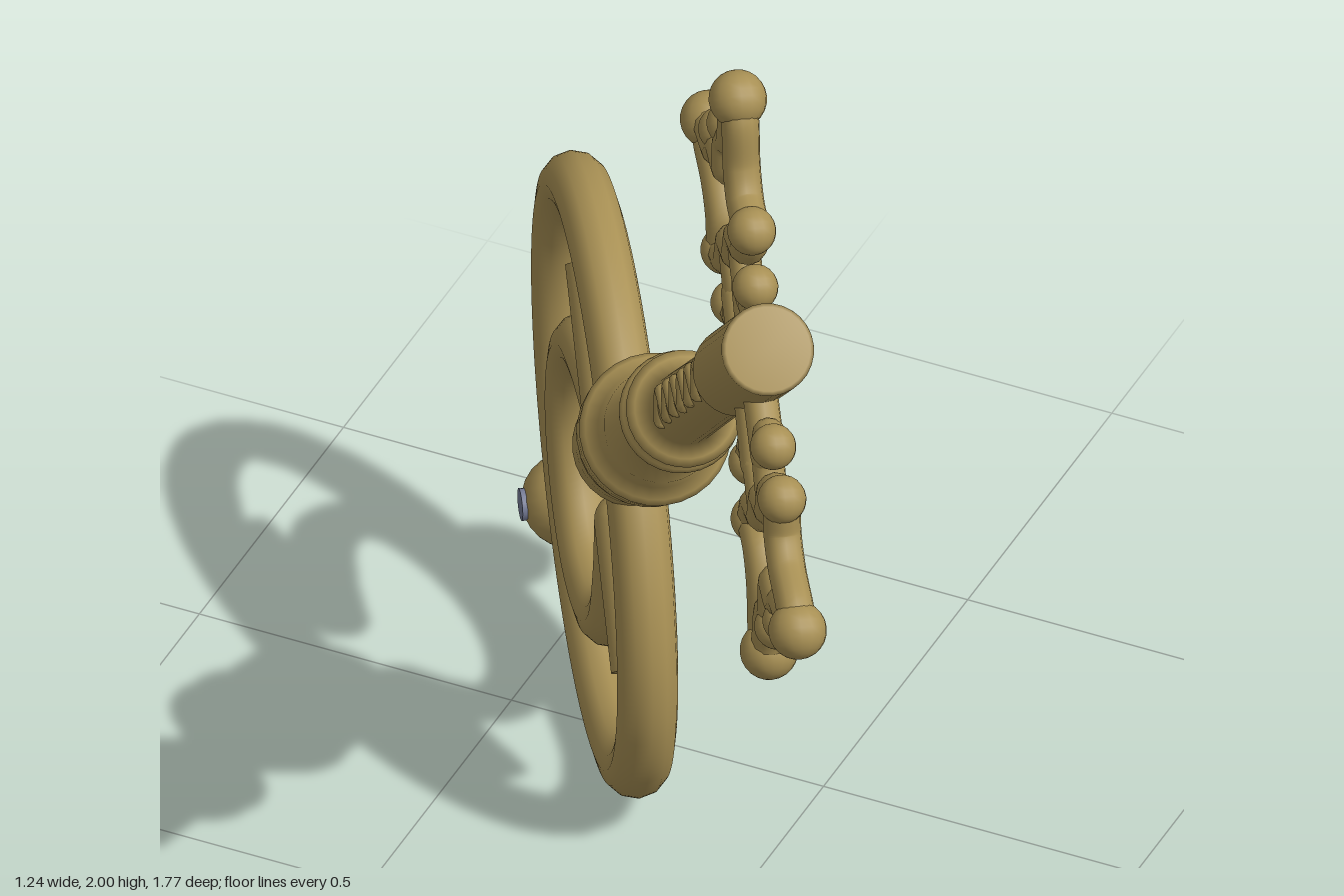
import * as THREE from 'three';

const brass = new THREE.MeshStandardMaterial({ color: 0xa89054 });
brass.name = 'antique brass';
const gem = new THREE.MeshStandardMaterial({ color: 0x767c96 });
gem.name = 'grey blue inlay';

// Flat-lying key frame: x runs along the shaft, y across it, z is the thickness.
const v = ([x, y, z = 0]) => new THREE.Vector3(x, y, z);

function add(parent, name, geometry, material = brass) {
  const mesh = new THREE.Mesh(geometry, material);
  mesh.name = name;
  parent.add(mesh);
  return mesh;
}

function ball(parent, name, [x, y, z = 0], r) {
  const mesh = add(parent, name, new THREE.SphereGeometry(r, 16, 12));
  mesh.position.set(x, y, z);
}

function rod(parent, name, points, r, closed = false) {
  const curve = new THREE.CatmullRomCurve3(points.map(v), closed, 'centripetal');
  add(parent, name, new THREE.TubeGeometry(curve, points.length * 8, r, 12, closed));
  if (!closed) {
    ball(parent, name + 'End', points[0], r);
    ball(parent, name + 'End', points[points.length - 1], r);
  }
}

// Complete a half outline into a symmetric closed one.
const mirrorX = (half) => [...half, ...half.slice(1, -1).reverse().map(([x, y]) => [-x, y])];

// Turned body: [position along shaft, radius]
function makeShaft() {
  const profile = [
    [-0.65, 0], [-0.64, 0.055], [-0.61, 0.078], [-0.57, 0.09], [-0.53, 0.09], [-0.5, 0.08],
    [-0.49, 0.092], [-0.46, 0.092], [-0.45, 0.078], [-0.4, 0.084], [-0.395, 0.1], [-0.38, 0.108],
    [-0.36, 0.108], [-0.345, 0.092], [-0.335, 0.108], [-0.315, 0.112], [-0.3, 0.105], [-0.29, 0.088],
    [-0.25, 0.084], [-0.235, 0.06], [-0.05, 0.055], [-0.045, 0.08], [-0.03, 0.09], [-0.015, 0.086],
    [-0.005, 0.072], [0.005, 0.08], [0.02, 0.086], [0.035, 0.075], [0.04, 0.054], [0.6, 0.052],
    [0.64, 0.067], [0.98, 0.068], [0.988, 0.062], [0.988, 0],
  ];
  const g = new THREE.LatheGeometry(profile.map(([s, r]) => new THREE.Vector2(r, s)), 28);
  return g.rotateZ(-Math.PI / 2);
}

// Hollow four-cornered wing of the bit with small curls
function makeWing() {
  const wing = new THREE.Group();
  const outline = mirrorX([
    [0, 0.3], [0.04, 0.335], [0.085, 0.335], [0.13, 0.365], [0.165, 0.39], [0.165, 0.355],
    [0.125, 0.29], [0.12, 0.24], [0.145, 0.195], [0.095, 0.175], [0.045, 0.195], [0, 0.175],
  ]);
  rod(wing, 'wingOutline', outline, 0.028, true);
  for (const m of [-1, 1]) {
    ball(wing, 'wingTip', [m * 0.165, 0.385], 0.043);
    ball(wing, 'outerBead', [m * 0.048, 0.36], 0.034);
    ball(wing, 'innerBead', [m * 0.155, 0.192], 0.036);
    rod(wing, 'wingCurl', [[m * 0.05, 0.19], [m * 0.055, 0.13], [m * 0.09, 0.09], [m * 0.125, 0.11]], 0.024);
    ball(wing, 'curlBead', [m * 0.125, 0.112], 0.034);
    rod(wing, 'wingStem', [[m * 0.06, 0.12], [m * 0.05, 0.03]], 0.026);
  }
  return wing;
}

export function createModel() {
  const model = new THREE.Group();
  model.name = 'ornateKey';
  const turned = new THREE.Group();
  turned.name = 'turnedKey';
  turned.rotation.y = -0.969;
  turned.position.set(0.017, 1.05, 0.025);
  model.add(turned);
  const key = new THREE.Group();
  key.name = 'tiltedKey';
  key.rotation.z = 0.724;
  turned.add(key);

  add(key, 'shaft', makeShaft());

  // Wavy relief on both faces of the shaft
  for (const side of [-1, 1]) {
    const wave = [];
    for (let i = 0; i <= 12; i++) {
      wave.push([0.1 + i * 0.042, i % 2 ? 0.02 : -0.02, side * 0.046]);
    }
    rod(key, 'shaftRelief', wave, 0.012);
    rod(key, 'lowerRelief', [[-0.2, -0.015, side * 0.05], [-0.14, 0.015, side * 0.05], [-0.08, -0.015, side * 0.05]], 0.011);
  }

  // Oval bow
  const oval = [];
  for (let i = 0; i < 24; i++) {
    const t = (i / 24) * Math.PI * 2;
    oval.push([-0.912 + 0.32 * Math.cos(t), -0.012 + 0.43 * Math.sin(t)]);
  }
  rod(key, 'bowRing', oval, 0.045, true);

  // Open scroll inside the bow, with a straight bar at each end
  const scroll = [[-0.775, 0.08], [-0.85, 0.145], [-0.96, 0.2], [-1.09, 0.185], [-1.175, 0.11], [-1.205, 0]];
  const whole = [...scroll, ...scroll.slice(0, -1).reverse().map(([x, y]) => [x, -y])];
  rod(key, 'bowScroll', whole.map(([x, y]) => [x, y - 0.012]), 0.042);
  for (const m of [-1, 1]) {
    const bar = add(key, 'scrollBar', new THREE.CylinderGeometry(0.042, 0.042, 0.22, 16));
    bar.position.set(-0.775, m * 0.19 - 0.012, 0);
  }

  // End ball with an inlay on each face
  ball(key, 'endBall', [-1.325, -0.012], 0.07);
  for (const side of [-1, 1]) {
    const inlay = add(key, 'ballInlay', new THREE.CylinderGeometry(0.024, 0.024, 0.008, 16), gem);
    inlay.rotation.x = Math.PI / 2;
    inlay.position.set(-1.325, -0.012, side * 0.068);
  }

  // Bit wings above and below the shaft
  for (const [name, turn, y] of [['upperWing', 0, -0.015], ['lowerWing', Math.PI, -0.025]]) {
    const wing = makeWing();
    wing.name = name;
    wing.rotation.x = turn;
    wing.position.set(0.797, y, 0);
    key.add(wing);
  }

  return model;
}
